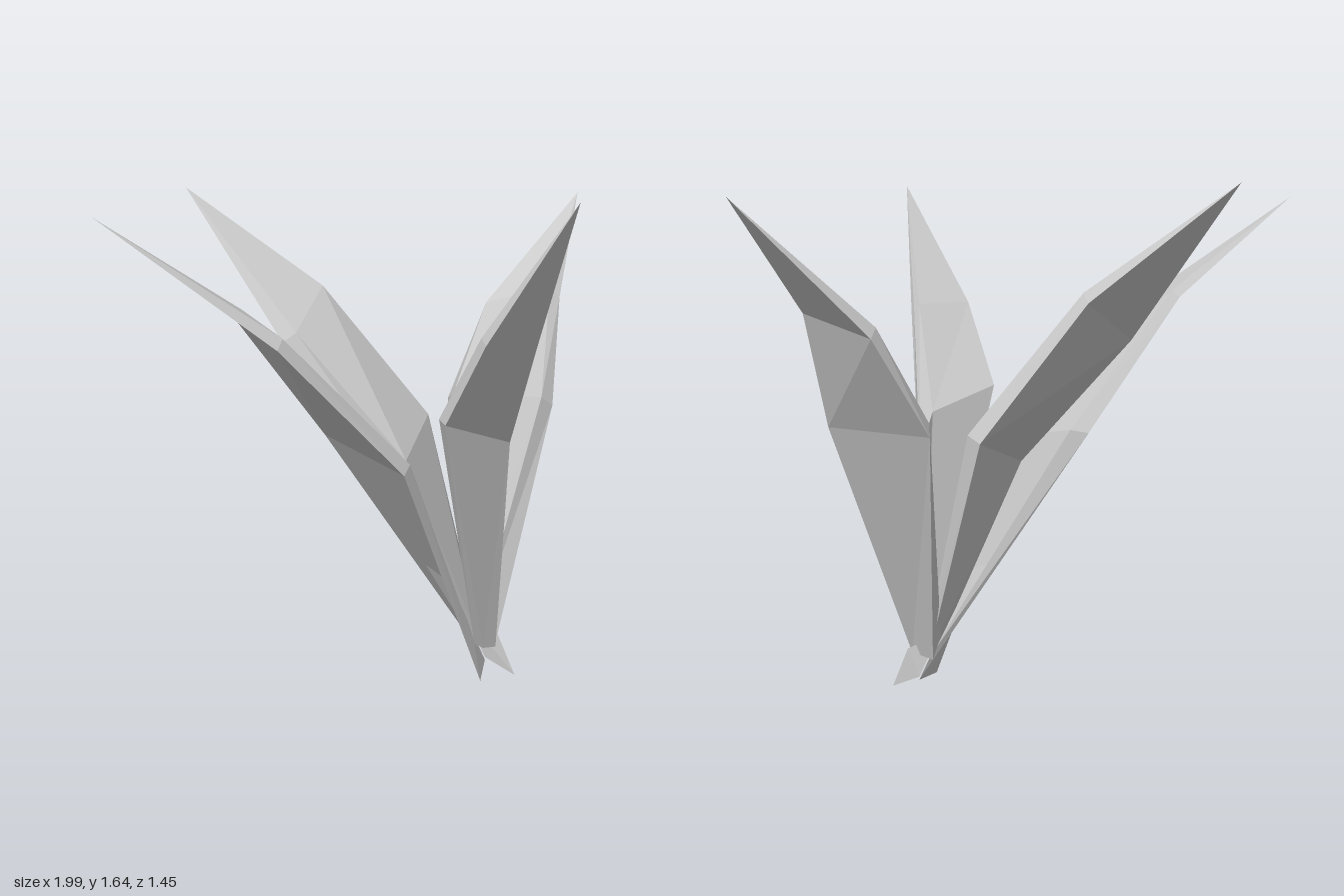
import * as THREE from 'three';

const material = new THREE.MeshStandardMaterial({ color: 0xcccccc, flatShading: true, side: THREE.DoubleSide });

// Lofts closed rings of corners from the base upward and ends them in a point.
// Corners run left to right along the outer face, then back along the inner one.
function blade(name, rings, tip) {
  const n = rings[0].length;
  const pos = [];
  const tri = (a, b, c) => pos.push(...a, ...b, ...c);
  rings.forEach((ring, r) => {
    const next = rings[r + 1];
    for (let i = 0; i < n; i++) {
      const j = (i + 1) % n;
      if (next) {
        tri(ring[i], ring[j], next[j]);
        tri(ring[i], next[j], next[i]);
      } else {
        tri(ring[i], ring[j], tip);
      }
    }
  });
  // base cap
  for (let i = 1; i < n - 1; i++) tri(rings[0][0], rings[0][i + 1], rings[0][i]);
  const geometry = new THREE.BufferGeometry();
  geometry.setAttribute('position', new THREE.Float32BufferAttribute(pos, 3));
  geometry.computeVertexNormals();
  const mesh = new THREE.Mesh(geometry, material);
  mesh.name = name;
  return mesh;
}

export function createModel() {
  const group = new THREE.Group();
  group.name = 'plant';

  // front leaf, with a folded flange along its left edge
  group.add(blade('frontLeaf', [
    [[0.19, 0.14, 0.18], [0.25, 0.13, 0.18], [0.29, 0.17, 0.11], [0.25, 0.14, 0.13], [0.20, 0.14, 0.13]],
    [[-0.10, 0.96, 0.30], [0.20, 0.86, 0.28], [0.25, 0.78, 0.16], [0.17, 0.90, 0.22], [-0.08, 0.97, 0.25]],
    [[-0.09, 1.22, 0.46], [0.12, 1.21, 0.47], [0.12, 1.22, 0.45], [0.11, 1.24, 0.43], [-0.08, 1.24, 0.43]],
  ], [0.01, 1.64, 0.72]));

  // left leaf
  group.add(blade('leftLeaf', [
    [[0.30, 0.12, 0.13], [0.29, 0.13, 0.00], [0.25, 0.20, 0.02], [0.25, 0.20, 0.10]],
    [[0.595, 0.90, 0.095], [0.415, 0.90, -0.24], [0.385, 0.93, -0.18], [0.545, 0.935, 0.09]],
    [[0.70, 1.26, 0.02], [0.60, 1.20, -0.24], [0.57, 1.23, -0.21], [0.67, 1.29, 0.00]],
  ], [0.99, 1.60, -0.17]));

  // right leaf
  group.add(blade('rightLeaf', [
    [[0.30, 0.04, 0.08], [0.19, 0.02, 0.17], [0.20, 0.14, 0.13], [0.27, 0.13, 0.05]],
    [[-0.17, 0.86, -0.20], [-0.16, 0.79, 0.18], [-0.10, 0.81, 0.14], [-0.12, 0.87, -0.17]],
    [[-0.52, 1.28, -0.20], [-0.56, 1.21, 0.08], [-0.525, 1.24, 0.06], [-0.50, 1.30, -0.18]],
  ], [-1.0, 1.60, -0.17]));

  // back leaf
  group.add(blade('backLeaf', [
    [[0.29, 0.13, 0.03], [0.22, 0.13, 0.10], [0.22, 0.15, 0.13], [0.28, 0.15, 0.07]],
    [[0.23, 0.86, -0.21], [-0.04, 0.75, 0.00], [-0.02, 0.79, 0.03], [0.24, 0.88, -0.15]],
    [[-0.02, 1.29, -0.42], [-0.26, 1.16, -0.30], [-0.22, 1.19, -0.28], [-0.03, 1.32, -0.38]],
  ], [-0.33, 1.64, -0.73]));

  // small root stub pointing down
  group.add(blade('rootStub', [
    [[0.30, 0.05, 0.08], [0.32, 0.14, 0.12], [0.26, 0.20, 0.02]],
  ], [0.35, 0.0, 0.175]));

  return group;
}
